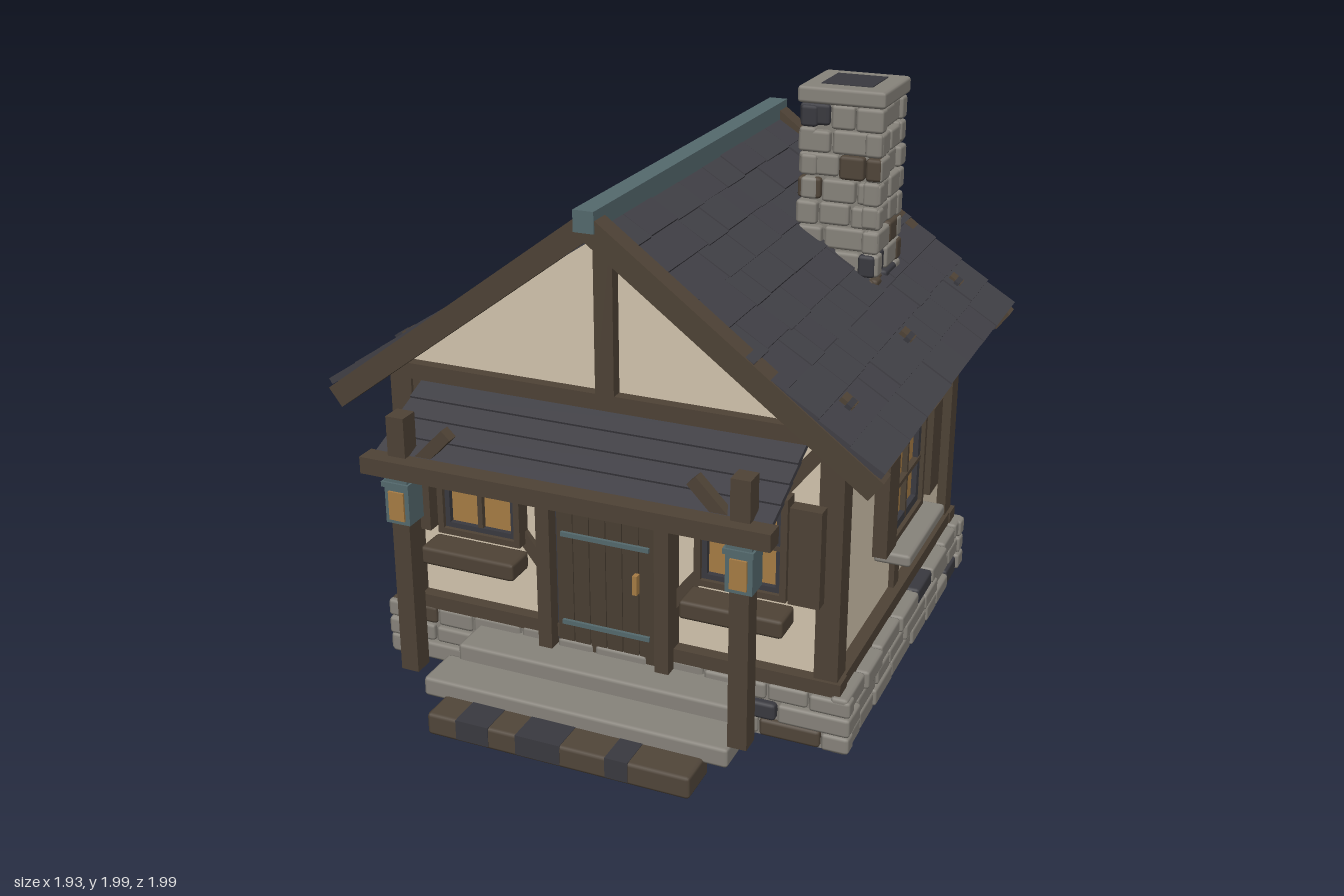
import * as THREE from 'three';
import { RoundedBoxGeometry } from 'three/addons/geometries/RoundedBoxGeometry.js';

const mat = (name, color) => {
  const m = new THREE.MeshStandardMaterial({ color });
  m.name = name;
  return m;
};
const plaster = mat('plaster', 0xd4c6af), timber = mat('timber', 0x4f4336), plank = mat('door plank', 0x4a3f33);
const slate = mat('slate', 0x414046), stone = mat('stone', 0x88847c), darkStone = mat('dark stone', 0x51463a);
const amber = mat('amber glass', 0xa87d45), teal = mat('weathered copper', 0x556a6e), iron = mat('iron', 0x3a3a40);

let seed = 7;
const rand = (a = 0, b = 1) => {
  seed = (seed * 16807) % 2147483647;
  return a + (b - a) * (seed / 2147483647);
};

function box(parent, name, m, w, h, d, x, y, z) {
  const mesh = new THREE.Mesh(new THREE.BoxGeometry(w, h, d), m);
  mesh.name = name;
  mesh.position.set(x, y, z);
  parent.add(mesh);
  return mesh;
}

function block(parent, name, m, w, h, d, x, y, z) {
  const mesh = new THREE.Mesh(new RoundedBoxGeometry(w, h, d, 1, 0.012), m);
  mesh.name = name;
  mesh.position.set(x, y, z);
  parent.add(mesh);
  return mesh;
}

// Straight beam between two points in the xy plane
function beam(parent, name, m, x1, y1, x2, y2, w, d, z) {
  const b = box(parent, name, m, Math.hypot(x2 - x1, y2 - y1), w, d, (x1 + x2) / 2, (y1 + y2) / 2, z);
  b.rotation.z = Math.atan2(y2 - y1, x2 - x1);
  return b;
}

function group(parent, name, x = 0, y = 0, z = 0, ry = 0) {
  const g = new THREE.Group();
  g.name = name;
  g.position.set(x, y, z);
  g.rotation.y = ry;
  parent.add(g);
  return g;
}

// Cuts a span into pieces of irregular length: [centre, length]
function pieces(a, b, min, max) {
  const out = [];
  while (b - a > 0.001) {
    let l = rand(min, max);
    if (b - a - l < min * 0.7) l = b - a;
    out.push([a + l / 2, l]);
    a += l;
  }
  return out;
}

// One course of rough stones around a rectangle
function stoneCourse(parent, hx, hz, y, h, min, max) {
  for (let k = 0; k < 4; k++) {
    const [half, dist] = k % 2 ? [hz, hx] : [hx, hz];
    const side = group(parent, 'stoneCourse', 0, y, 0, k * Math.PI / 2);
    for (const [u, l] of pieces(-half, half, min, max)) {
      const pick = rand();
      const m = pick < 0.07 ? darkStone : pick < 0.1 ? iron : stone;
      block(side, 'stone', m, l - 0.006, h * rand(0.86, 0.99), 0.06, u, rand(-0.003, 0.003), dist - 0.03 - rand(0, 0.016));
    }
  }
}

// Framed window with four panes and a sash of width f, facing +z
function windowUnit(parent, x, y, w, h, f) {
  const g = group(parent, 'window', x, y, 0);
  const edge = 0.022;
  box(g, 'glass', amber, w - 2 * edge, h - 2 * edge, 0.008, 0, 0, 0.022);
  for (const s of [-1, 1]) {
    box(g, 'outerJamb', timber, edge, h, 0.06, s * (w - edge) / 2, 0, 0.03);
    box(g, 'outerRail', timber, w, edge, 0.06, 0, s * (h - edge) / 2, 0.03);
    box(g, 'sashStile', iron, f, h - 2 * edge, 0.04, s * ((w - f) / 2 - edge), 0, 0.025);
    box(g, 'sashRail', iron, w - 2 * edge, f, 0.04, 0, s * ((h - f) / 2 - edge), 0.025);
  }
  box(g, 'mullion', timber, 0.018, h - 0.05, 0.03, 0, 0, 0.03);
  box(g, 'transom', timber, w - 0.02, 0.016, 0.036, 0, 0, 0.03);
}

function gableTimbers(wall, footX, footY) {
  box(wall, 'sillBeam', timber, 1.64, 0.05, 0.07, 0, 0.25, 0.01);
  box(wall, 'tieBeam', timber, 1.56, 0.055, 0.06, 0, 1.115, 0.01);
  box(wall, 'kingPost', timber, 0.066, 0.58, 0.06, 0, 1.41, 0.012);
  for (const s of [-1, 1]) beam(wall, 'brace', timber, s * 0.74, 1.09, s * footX, footY, 0.045, 0.03, 0.005);
}

function buildWalls(root) {
  const shape = new THREE.Shape([[-0.77, 0.2], [0.77, 0.2], [0.77, 1.13], [0, 1.69], [-0.77, 1.13]].map(p => new THREE.Vector2(...p)));
  const body = new THREE.Mesh(new THREE.ExtrudeGeometry(shape, { depth: 1.34, bevelEnabled: false }), plaster);
  body.name = 'plasterBody';
  body.position.z = -0.8;
  root.add(body);
  for (const x of [-0.765, 0.765]) for (const z of [0.53, -0.79]) box(root, 'cornerPost', timber, 0.08, 0.88, 0.085, x, 0.66, z);

  // Front wall with windows, planters and door
  const front = group(root, 'frontWall', 0, 0, 0.54);
  gableTimbers(front, 0.2, 0.4);
  for (const s of [-1, 1]) {
    windowUnit(front, s * 0.475, 0.72, 0.315, 0.36, 0.018);
    box(front, 'shutter', timber, 0.105, 0.335, 0.05, s * 0.7, 0.722, 0.06);
    block(front, 'planter', timber, 0.355, 0.065, 0.12, s * 0.477, 0.49, 0.09);
    box(front, 'doorJamb', timber, 0.05, 0.7, 0.09, s * 0.215, 0.55, 0.045);
  }
  box(front, 'doorLintel', timber, 0.48, 0.035, 0.1, 0, 0.888, 0.05);
  box(front, 'doorBack', iron, 0.38, 0.67, 0.04, 0, 0.535, 0.02);
  for (let i = 0; i < 6; i++) box(front, 'doorPlank', plank, 0.057, 0.61, 0.03, (i - 2.5) * 0.06, 0.505, 0.04);
  for (const y of [0.3, 0.63]) box(front, 'doorStrap', teal, 0.32, 0.016, 0.012, 0, y, 0.06);
  box(front, 'doorHandle', amber, 0.016, 0.07, 0.025, 0.115, 0.5, 0.066);

  // Back wall
  const back = group(root, 'backWall', 0, 0, -0.8, Math.PI);
  gableTimbers(back, 0.06, 0.3);
  box(back, 'middlePost', timber, 0.066, 0.85, 0.06, 0, 0.67, 0.012);

  // Side walls, mirrored; along the wall u = s * -z
  for (const s of [-1, 1]) {
    const side = group(root, 'sideWall', s * 0.77, 0, 0, s * Math.PI / 2);
    const u = z => -s * z;
    box(side, 'sillBeam', timber, 1.42, 0.05, 0.07, u(-0.13), 0.25, 0.01);
    box(side, 'wallPlate', timber, 1.36, 0.05, 0.05, u(-0.13), 1.115, 0.005);
    box(side, 'middlePost', timber, 0.06, 0.85, 0.04, u(-0.137), 0.67, 0);
    beam(side, 'brace', timber, u(0.5), 1.1, u(0.07), 0.82, 0.045, 0.04, 0.005);
    beam(side, 'brace', timber, u(-0.31), 1.1, u(-0.77), 0.82, 0.045, 0.04, 0.005);
    windowUnit(side, u(-0.12), 0.72, 0.36, 0.38, 0.03);
    block(side, 'stoneSill', stone, 0.45, 0.045, 0.13, u(-0.12), 0.5, 0.065);
    for (const z of [0.148, -0.388]) box(side, 'shutter', timber, 0.115, 0.335, 0.05, u(z), 0.718, 0.05);
  }
}

function buildFoundation(root) {
  const base = group(root, 'foundation', 0, 0, -0.135);
  box(base, 'foundationCore', stone, 1.66, 0.2, 1.42, 0, 0.12, 0);
  for (let i = 0; i < 3; i++) stoneCourse(base, 0.862, 0.737, 0.057 + i * 0.07, 0.07, 0.11, 0.25);
  block(root, 'topStep', stone, 1.0, 0.07, 0.2, 0, 0.165, 0.63);
  block(root, 'middleStep', stone, 1.1, 0.07, 0.17, 0, 0.107, 0.795);
  block(root, 'bottomStep', darkStone, 0.94, 0.08, 0.16, 0, 0.05, 0.918);
  // Slate patches on the bottom step
  for (const [x, w] of [[-0.3, 0.12], [-0.06, 0.16], [0.22, 0.08]]) box(root, 'stepPatch', iron, w, 0.072, 0.164, x, 0.056, 0.918);
}

function buildRoof(root) {
  const roof = group(root, 'roof');
  for (const s of [-1, 1]) {
    beam(roof, 'roofDeck', slate, 0, 1.69, s * 0.87, 1.102, 0.02, 1.64, -0.14);
    for (const z of [0.667, -0.95]) beam(roof, 'bargeBoard', timber, 0, 1.733, s * 0.94, 1.031, 0.078, 0.075, z);
    // Overlapping slates, each course resting on the one below
    for (let i = 0; i < 9; i++) {
      const x = 0.96 - i * 0.104, y = 1.083 + i * 0.104 * 0.684;
      const up = Math.min(0.16, x);
      for (const [z, l] of pieces(-0.99, 0.7, 0.12, 0.25)) {
        const lift = rand(-0.003, 0.004), edge = x - rand(0, 0.007);
        beam(roof, 'slateTile', slate, s * edge, y + lift, s * (x - up), y + up * 0.6 + lift, 0.022, l - 0.003, z);
      }
    }
    for (const z of [-0.79, -0.15, 0.49]) {
      const guard = group(roof, 'snowGuard', s * 0.78, 1.213, z);
      guard.rotation.z = -s * 0.6;
      box(guard, 'guardPlate', timber, 0.05, 0.022, 0.05, 0, 0, 0);
      box(guard, 'guardHook', iron, 0.02, 0.028, 0.06, s * 0.01, 0, 0.012);
    }
  }
  box(roof, 'ridgeCap', teal, 0.07, 0.07, 1.7, 0, 1.75, -0.14);
}

function buildChimney(root) {
  const c = group(root, 'chimney', 0.475, 0, -0.435);
  box(c, 'chimneyCore', stone, 0.24, 0.7, 0.24, 0, 1.59, 0);
  for (let i = 0; i < 8; i++) stoneCourse(c, 0.153, 0.153, 1.302 + i * 0.085, 0.085, 0.08, 0.16);
  block(c, 'chimneyCap', stone, 0.31, 0.058, 0.31, 0, 1.968, 0);
  box(c, 'flue', iron, 0.18, 0.02, 0.18, 0, 1.99, 0);
}

function buildPorch(root) {
  const porch = group(root, 'porch');
  // Lean-to roof of overlapping strips
  for (let i = 0; i < 4; i++) {
    const strip = box(porch, 'porchRoofStrip', slate, 1.36, 0.018, 0.11, 0, 1.07 - i * 0.036, 0.6 + i * 0.074);
    strip.rotation.x = 0.36;
  }
  box(porch, 'porchBeam', timber, 1.4, 0.058, 0.07, 0, 0.924, 0.905);
  for (const s of [-1, 1]) {
    box(porch, 'porchPost', timber, 0.064, 0.92, 0.07, s * 0.588, 0.63, 0.862);
    beam(porch, 'porchBrace', timber, s * 0.57, 0.89, s * 0.42, 1.045, 0.042, 0.04, 0.85);
    const lamp = group(porch, 'lantern', s * 0.59, 0, 0.865);
    box(lamp, 'lanternBody', teal, 0.088, 0.13, 0.085, 0, 0.785, 0);
    box(lamp, 'lanternGlass', amber, 0.056, 0.1, 0.008, 0, 0.785, 0.046);
    box(lamp, 'lanternCap', teal, 0.1, 0.018, 0.105, 0, 0.859, 0);
    box(lamp, 'lanternTop', teal, 0.085, 0.018, 0.09, 0, 0.877, 0);
  }
}

export function createModel() {
  const root = new THREE.Group();
  root.name = 'cottage';
  buildFoundation(root);
  buildWalls(root);
  buildRoof(root);
  buildChimney(root);
  buildPorch(root);
  return root;
}
